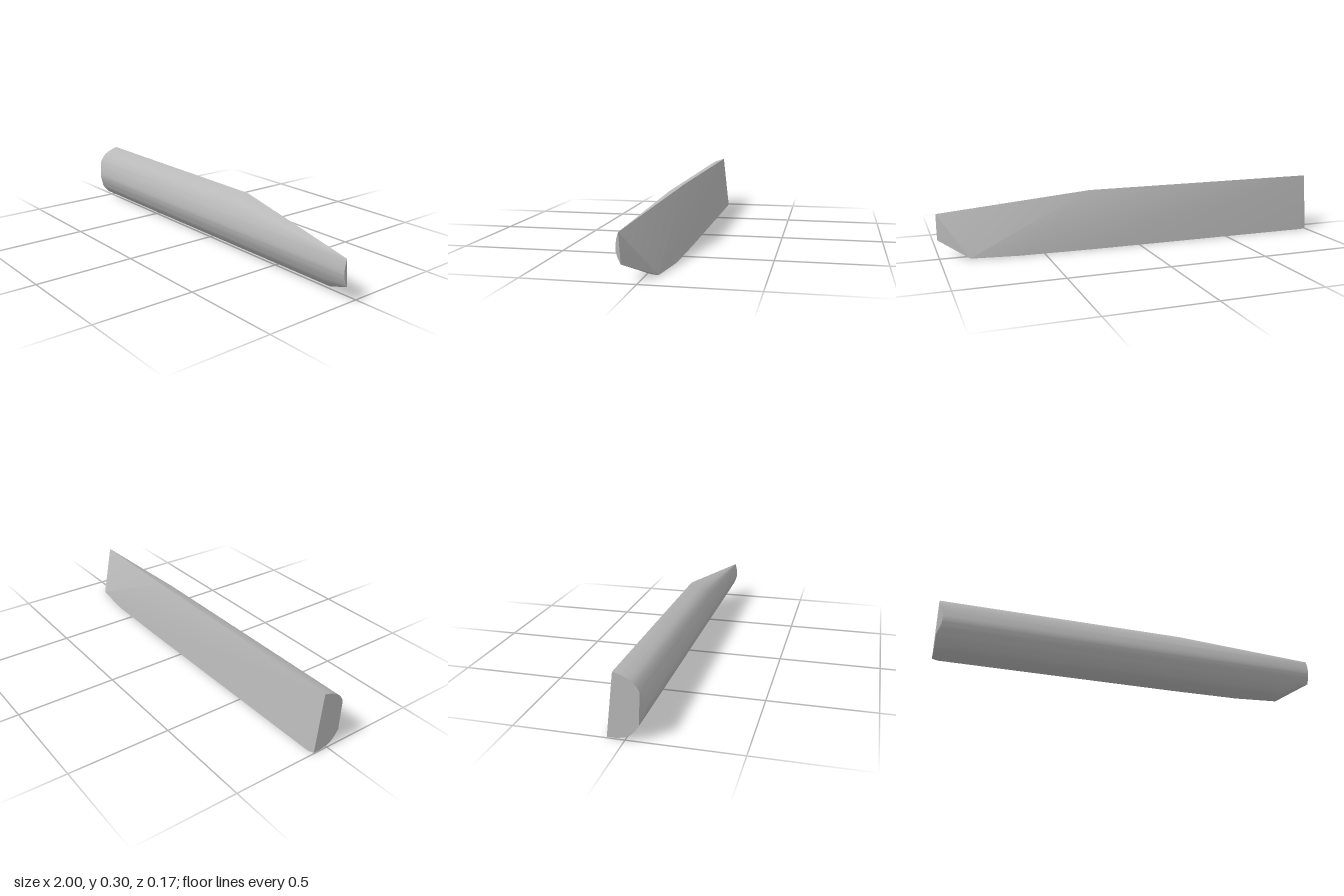
import * as THREE from 'three';
import { ConvexGeometry } from 'three/addons/geometries/ConvexGeometry.js';
import { toCreasedNormals } from 'three/addons/utils/BufferGeometryUtils.js';

const V = (x, y, z) => new THREE.Vector3(x, y, z);

export function createModel() {
  const grey = new THREE.MeshStandardMaterial({ color: 0xb8b8b8 });
  grey.name = 'plainGrey';

  // Rounded front of the cross-section, as (z, y) from the top edge to the bottom edge
  const arc = new THREE.SplineCurve([
    [-0.033, 0.295], [0.008, 0.28], [0.045, 0.255], [0.073, 0.208], [0.085, 0.15],
    [0.079, 0.112], [0.064, 0.078], [0.05, 0.055], [0.019, 0.022], [-0.02, 0.008], [-0.055, 0.004],
  ].map(([z, y]) => new THREE.Vector2(z, y)));

  // Each strip runs lengthwise; its ends depend on its height
  const points = [];
  for (const { x: z, y } of arc.getPoints(40)) {
    const middle = y > 0.075 && y < 0.21;
    points.push(V(middle ? -0.98 : -1, y, z));
    points.push(V(middle ? 1 : y >= 0.21 ? 0.26 : 0.86, y, z));
  }

  // Corners of the flat back, with its slightly clipped butt end
  points.push(
    V(-1, 0.298, -0.045), V(0.25, 0.296, -0.034),
    V(-1, 0.004, -0.078), V(-0.97, 0, -0.084),
    V(0.25, 0, -0.084), V(0.63, 0.003, -0.083), V(0.86, 0.005, -0.055),
  );

  const shard = new THREE.Mesh(toCreasedNormals(new ConvexGeometry(points), 0.4), grey);
  shard.name = 'splitLog';

  const group = new THREE.Group();
  group.name = 'taperedSplitLog';
  group.add(shard);
  return group;
}
